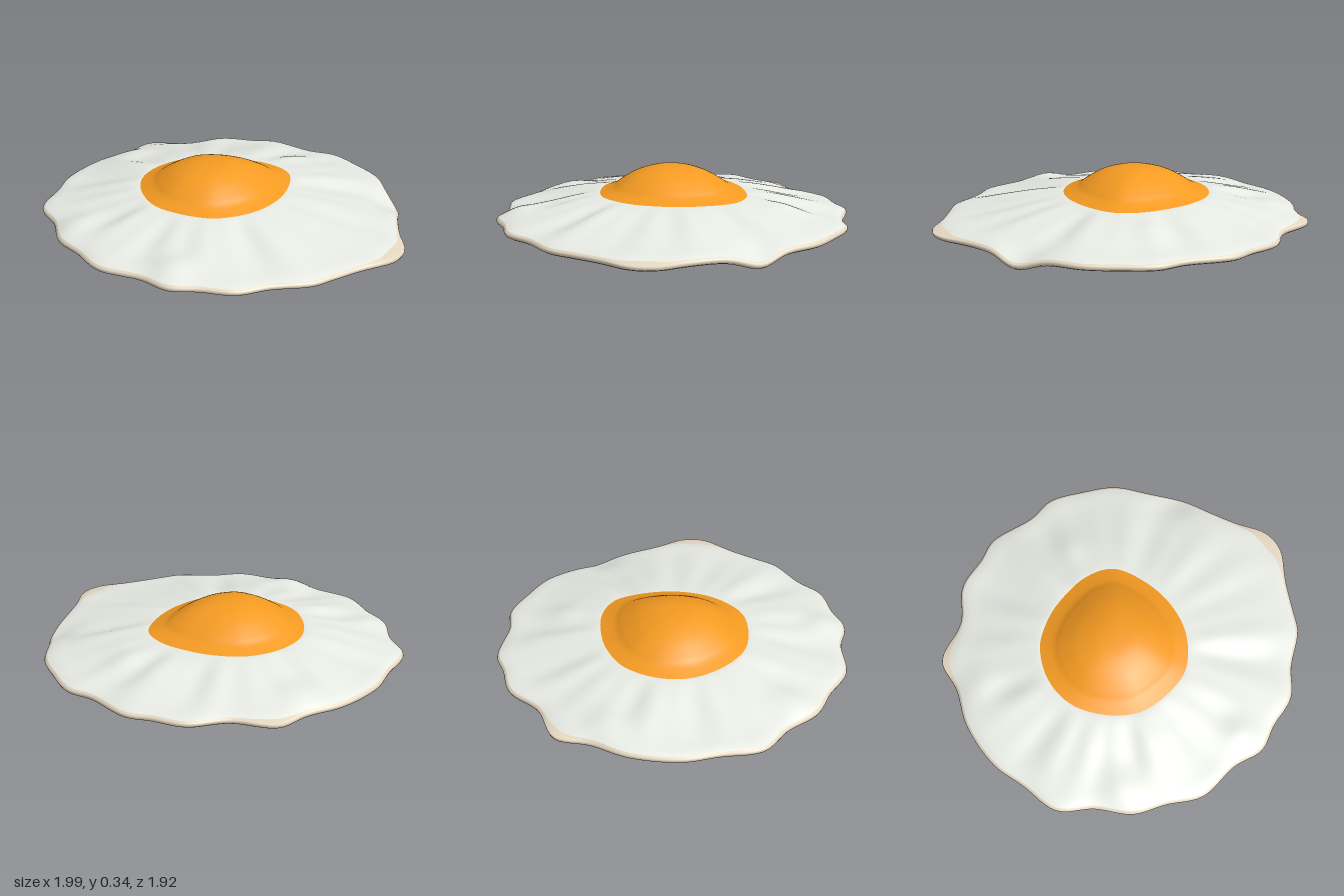
import * as THREE from 'three';

const SECTORS = 180;
const CX = -0.09; // yolk centre

// Closed outline [x, z] turned into a radius for every sector around the yolk centre
function radii(points) {
  const curve = new THREE.CatmullRomCurve3(points.map(([x, z]) => new THREE.Vector3(x - CX, 0, z)), true);
  const samples = curve.getPoints(2400).map((p) => [Math.atan2(p.z, p.x), Math.hypot(p.x, p.z)]);
  return Array.from({ length: SECTORS }, (_, j) => {
    const a = (j / SECTORS) * Math.PI * 2;
    let best = samples[0], gap = 9;
    for (const s of samples) {
      const d = 1 - Math.cos(s[0] - a);
      if (d < gap) { gap = d; best = s; }
    }
    return best[1];
  });
}

// Surface through rings; each ring is a function sector -> [radius, height(x, z, angle)]
function loft(rings) {
  const pos = [], index = [];
  rings.forEach((ring, i) => {
    for (let j = 0; j < SECTORS; j++) {
      const a = (j / SECTORS) * Math.PI * 2;
      const [r, height] = ring(j);
      const x = CX + r * Math.cos(a), z = r * Math.sin(a);
      pos.push(x, height(x, z, a), z);
      if (i === rings.length - 1) continue;
      const k = (j + 1) % SECTORS, p = i * SECTORS, q = p + SECTORS;
      index.push(p + j, p + k, q + j, p + k, q + k, q + j);
    }
  });
  const g = new THREE.BufferGeometry();
  g.setAttribute('position', new THREE.Float32BufferAttribute(pos, 3));
  g.setIndex(index);
  g.computeVertexNormals();
  return g;
}

// Part of a loft between two rings, keeping the shared smooth normals
function band(geometry, from, to) {
  const g = geometry.clone();
  const per = SECTORS * 6;
  g.setIndex(Array.from(geometry.index.array.slice(from * per, to * per)));
  return g;
}

const profile = (pts, n) => new THREE.SplineCurve(pts.map((p) => new THREE.Vector2(...p))).getPoints(n);
const blob = (x, z, [bx, bz, amp, r]) => amp * Math.exp(-((x - bx) ** 2 + (z - bz) ** 2) / (r * r));

export function createModel() {
  const group = new THREE.Group();
  const add = (name, geometry, color) => {
    const mesh = new THREE.Mesh(geometry, new THREE.MeshStandardMaterial({ color, side: THREE.DoubleSide }));
    mesh.name = name;
    group.add(mesh);
  };

  const outer = radii([
    [0.08, -0.965], [0.32, -0.865], [0.47, -0.84], [0.62, -0.72], [0.75, -0.585], [0.83, -0.4], [0.91, -0.24],
    [0.925, -0.05], [0.955, 0.13], [0.995, 0.29], [0.96, 0.41], [0.8, 0.55], [0.68, 0.67], [0.59, 0.757],
    [0.39, 0.837], [0.24, 0.928], [0.055, 0.935], [-0.1, 0.955], [-0.26, 0.88], [-0.49, 0.83], [-0.64, 0.69],
    [-0.78, 0.575], [-0.87, 0.39], [-0.99, 0.23], [-0.98, 0], [-0.975, -0.19], [-0.88, -0.44], [-0.745, -0.61],
    [-0.66, -0.77], [-0.42, -0.82], [-0.24, -0.94], [-0.05, -0.95],
  ]);
  const inner = radii([
    [-0.05, -0.41], [0.16, -0.37], [0.285, -0.27], [0.317, -0.08], [0.285, 0.107], [0.19, 0.27], [0.03, 0.38],
    [-0.1, 0.39], [-0.32, 0.32], [-0.45, 0.16], [-0.5, -0.03], [-0.45, -0.21], [-0.32, -0.35], [-0.18, -0.4],
  ]);

  // Yolk: dome flaring into a thin skirt
  const dome = profile([[0, 0.34], [0.25, 0.332], [0.5, 0.299], [0.7, 0.253], [0.8, 0.225], [0.9, 0.208], [1, 0.194]], 32);
  add('yolk', loft(dome.map(({ x: t, y }) => (j) => [Math.max(t, 0) * inner[j], () => y])), 0xf59b22);

  // Egg white: raised bumps, a drooping edge and radial wrinkles
  const bumps = [[-0.1, 0.83, 0.035, 0.1], [-0.7, -0.5, 0.035, 0.12], [-0.72, 0.48, 0.03, 0.12], [0.28, -0.55, 0.015, 0.1]];
  const sag = (x, z) => blob(x, z, [0.89, -0.25, -0.045, 0.12]) - 0.005 * x;
  const lift = (x, z) => bumps.reduce((sum, b) => sum + blob(x, z, b), 0);
  const wrinkle = (a) => 0.5 * Math.sin(9 * a + 1) + 0.35 * Math.sin(14 * a + 2.3) + 0.25 * Math.sin(23 * a);

  // The rim slopes more widely at two places
  const inset = (j) => {
    const a = (j / SECTORS) * Math.PI * 2;
    const x = CX + outer[j] * Math.cos(a), z = outer[j] * Math.sin(a);
    return 0.985 - blob(x, z, [0.99, 0.36, 0.05, 0.14]) - blob(x, z, [-0.65, -0.78, 0.035, 0.12]);
  };
  const topRings = profile([[-0.08, 0.178], [0, 0.195], [0.25, 0.175], [0.5, 0.146], [0.75, 0.118], [0.92, 0.102], [1, 0.09]], 36)
    .map(({ x: s, y }) => (j) => [
      inner[j] + s * (inset(j) * outer[j] - inner[j]),
      (x, z, a) => {
        const mid = s > 0 ? Math.sin(Math.PI * Math.min(s, 1)) : 0;
        return y + 0.014 * mid * wrinkle(a) + sag(x, z) + lift(x, z) * (1 - Math.max(s, 0) ** 6 * 0.8);
      },
    ]);
  const scaled = ([f, y]) => (j) => [f * outer[j], (x, z) => y + sag(x, z)];
  const rimRings = [[0.997, 0.083], [1, 0.073], [0.995, 0.062], [0.98, 0.054]].map(scaled);
  const bottomRings = [[0.95, 0.051], [0.85, 0.05], [0.7, 0.05], [0.4, 0.05], [0, 0.05]].map(scaled);
  const white = loft([...topRings, ...rimRings, ...bottomRings]);
  const t = topRings.length - 1, r = t + rimRings.length;
  add('eggWhiteTop', band(white, 0, t), 0xe8ebe4);
  add('eggWhiteRim', band(white, t, r), 0xe6d9c3);
  add('eggWhiteUnderside', band(white, r, r + bottomRings.length), 0xe0e0dc);

  return group;
}
